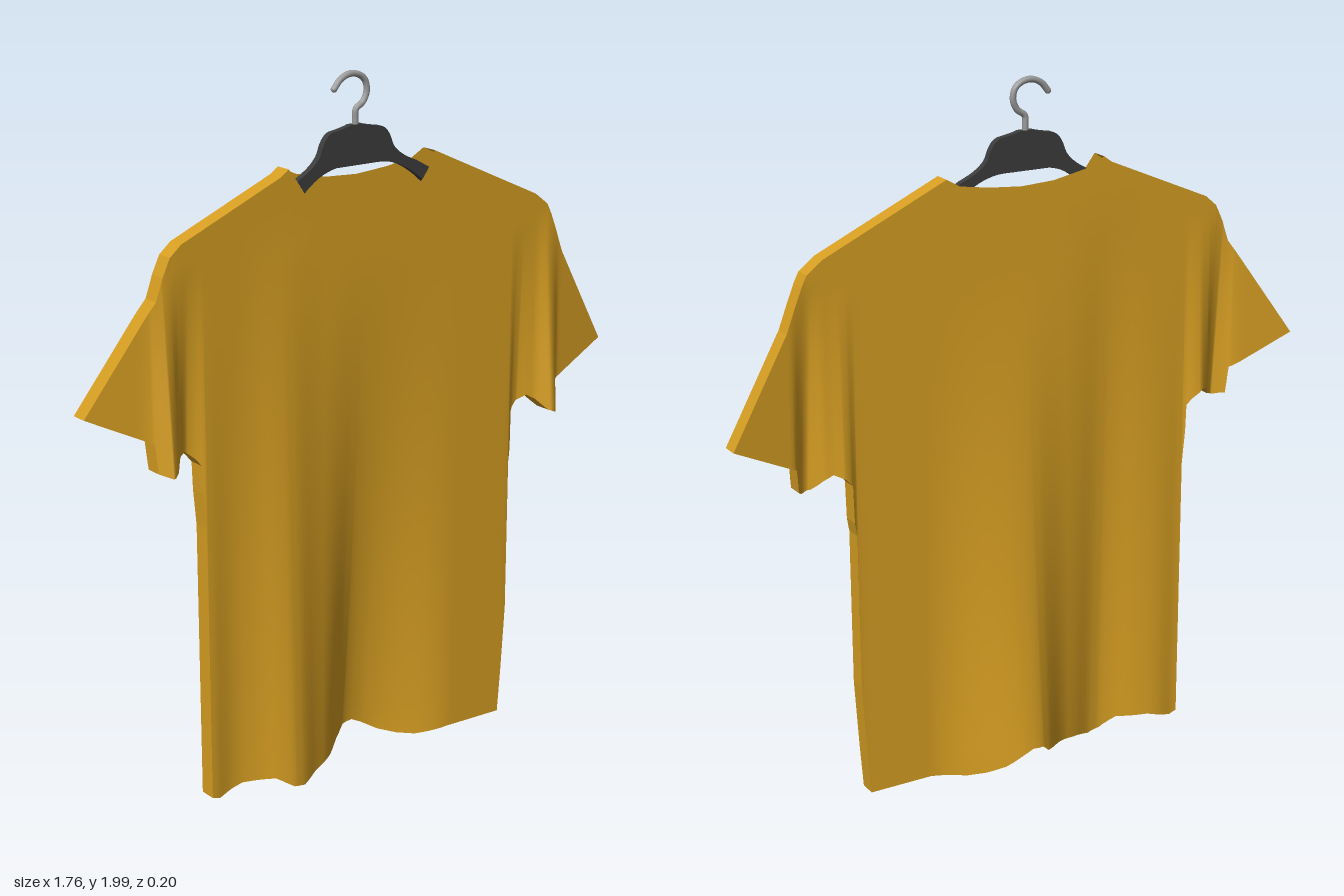
import * as THREE from 'three';

const cloth = new THREE.MeshStandardMaterial({ color: 0xd69e22, side: THREE.DoubleSide });
cloth.name = 'mustard cloth';
const plastic = new THREE.MeshStandardMaterial({ color: 0x3c3c3c });
plastic.name = 'dark plastic';
const metal = new THREE.MeshStandardMaterial({ color: 0x9a9a9a });
metal.name = 'grey metal';

// Outline as height over x: shoulders, necklines and lower edge
const leftTop = [[-0.88, 1.18], [-0.68, 1.47], [-0.66, 1.53], [-0.635, 1.58], [-0.6, 1.61], [-0.285, 1.745], [-0.26, 1.763]];
const rightTop = [[0.23, 1.755], [0.6, 1.585], [0.645, 1.55], [0.66, 1.52], [0.71, 1.4], [0.88, 1.11]];
const frontNeck = [[-0.235, 1.73], [-0.21, 1.693], [-0.15, 1.645], [-0.1, 1.622], [-0.05, 1.612], [0, 1.61],
  [0.05, 1.613], [0.1, 1.625], [0.15, 1.65], [0.19, 1.682], [0.21, 1.71]];
const backNeck = [[-0.2, 1.735], [-0.1, 1.715], [0, 1.71], [0.1, 1.718], [0.19, 1.732]];
const frontTop = [...leftTop, ...frontNeck, ...rightTop];
const backTop = [...leftTop, ...backNeck, ...rightTop];
const bottom = [
  // right-hand sleeve opening and side seam
  [-0.88, 1.18], [-0.695, 1.09], [-0.69, 1.01], [-0.665, 1.0], [-0.64, 1.01], [-0.615, 1.04], [-0.59, 1.045],
  [-0.56, 1.02], [-0.546, 1.0], [-0.544, 0.92], [-0.537, 0.82], [-0.535, 0.03],
  // hem
  [-0.51, 0.022], [-0.43, 0.045], [-0.34, 0.044], [-0.29, 0.012], [-0.25, 0.005], [-0.2, 0.02], [-0.1, 0.04],
  [-0.04, 0.055], [-0.015, 0.077], [0.02, 0.08], [0.05, 0.065], [0.1, 0.035], [0.15, 0.018], [0.2, 0.01], [0.3, 0.02], [0.49, 0.017],
  // left-hand side seam and sleeve opening
  [0.5, 0.14], [0.514, 0.35], [0.517, 0.8], [0.526, 0.84], [0.531, 0.95], [0.555, 0.975], [0.585, 0.99],
  [0.61, 0.975], [0.635, 0.945], [0.66, 0.935], [0.68, 0.95], [0.69, 1.02], [0.88, 1.11]];

function heightAt(line, x) {
  let i = 1;
  while (i < line.length - 1 && line[i][0] < x) i++;
  const [x0, y0] = line[i - 1], [x1, y1] = line[i];
  return y0 + (y1 - y0) * (x - x0) / (x1 - x0);
}

// Folds: centre x, width either side, depth, y where deepest, y where it fades out, fade power
const folds = [
  [-0.28, 0.14, 0.14, 0.047, 0.0, 1.6, 1], [0.01, 0.18, 0.3, -0.104, 0.05, 1.5, 1.45],
  [-0.46, 0.07, 0.07, -0.01, 0.0, 1.4, 1],
  [-0.66, 0.05, 0.05, 0.045, 1.0, 1.55, 1], [-0.58, 0.045, 0.05, -0.024, 1.0, 1.55, 1],
  [0.65, 0.05, 0.05, 0.045, 0.94, 1.52, 1], [0.55, 0.04, 0.055, -0.02, 0.95, 1.5, 1]];

function drape(x, y) {
  let z = 0;
  for (const [cx, wl, wr, depth, y0, y1, power] of folds) {
    const u = Math.min(1, Math.abs(x - cx) / (x < cx ? wl : wr));
    const v = THREE.MathUtils.clamp((y1 - y) / (y1 - y0), 0, 1);
    z += depth * (0.5 + 0.5 * Math.cos(Math.PI * u)) * Math.pow(v, power);
  }
  // sleeves swing back towards their tips
  const tip = Math.max(0, (Math.abs(x) - 0.66) / 0.22);
  return z - tip * (x < 0 ? 0.042 : 0.025);
}

function surface(rows, flip) {
  const pos = [], idx = [], n = rows[0].length;
  rows.forEach(r => r.forEach(p => pos.push(...p)));
  for (let i = 0; i < rows.length - 1; i++) {
    for (let j = 0; j < n - 1; j++) {
      const a = i * n + j, b = a + n, c = b + 1, d = a + 1;
      if (flip) idx.push(a, c, b, a, d, c);
      else idx.push(a, b, c, a, c, d);
    }
  }
  const g = new THREE.BufferGeometry();
  g.setAttribute('position', new THREE.Float32BufferAttribute(pos, 3));
  g.setIndex(idx);
  g.computeVertexNormals();
  return g;
}

// Column positions: even spacing plus every outline corner
const steps = Array.from({ length: 89 }, (_, i) => -0.88 + i * 0.02);
const columns = [...steps, ...[...frontTop, ...backTop, ...bottom].map(p => p[0])]
  .sort((a, b) => a - b).filter((x, i, all) => i === 0 || x - all[i - 1] > 0.0005);
const ROWS = 40, DEPTH = 0.05;

function add(group, name, geometry, material) {
  const mesh = new THREE.Mesh(geometry, material);
  mesh.name = name;
  group.add(mesh);
  return mesh;
}

function panel(topLine, z0, flip) {
  return surface(columns.map(x => {
    const lo = heightAt(bottom, x), hi = heightAt(topLine, x);
    return Array.from({ length: ROWS + 1 }, (_, j) => {
      const y = lo + (hi - lo) * j / ROWS;
      return [x, y, z0 + drape(x, y)];
    });
  }), flip);
}

// Strip joining the front and back panels along an edge line
function edgeStrip(line, x0, x1, flip) {
  const xs = columns.filter(x => x >= x0 - 1e-4 && x <= x1 + 1e-4);
  const rows = [];
  xs.forEach((x, k) => {
    const y = heightAt(line, x);
    const px = k ? xs[k - 1] : x, py = heightAt(line, px);
    const n = Math.max(1, Math.ceil(Math.abs(y - py) / 0.05));
    for (let s = k ? 1 : n; s <= n; s++) {
      const ex = px + (x - px) * s / n, ey = py + (y - py) * s / n, z = drape(ex, ey);
      rows.push([[ex, ey, z], [ex, ey, z + DEPTH]]);
    }
  });
  const g = surface(rows, flip).toNonIndexed();
  g.computeVertexNormals();
  return g;
}

export function createModel() {
  const model = new THREE.Group();
  model.name = 'shirtOnHanger';

  const shirt = new THREE.Group();
  shirt.name = 'shirt';
  add(shirt, 'frontPanel', panel(frontTop, DEPTH, false), cloth);
  add(shirt, 'backPanel', panel(backTop, 0, true), cloth);
  add(shirt, 'rightShoulderEdge', edgeStrip(backTop, -0.88, -0.26, true), cloth);
  add(shirt, 'leftShoulderEdge', edgeStrip(backTop, 0.23, 0.88, true), cloth);
  add(shirt, 'hemAndSleeveEdge', edgeStrip(bottom, -0.88, 0.88, false), cloth);

  // Hanger: flat arched bar whose arms run inside the shoulders
  const hanger = new THREE.Group();
  hanger.name = 'hanger';
  const bar = new THREE.Shape();
  bar.moveTo(-0.48, 1.57);
  bar.lineTo(-0.46, 1.61);
  bar.lineTo(-0.23, 1.725);
  bar.quadraticCurveTo(-0.165, 1.755, -0.15, 1.79);
  bar.quadraticCurveTo(-0.135, 1.84, -0.105, 1.843);
  bar.quadraticCurveTo(-0.07, 1.848, -0.05, 1.855);
  bar.lineTo(-0.01, 1.855);
  bar.quadraticCurveTo(0.01, 1.848, 0.045, 1.843);
  bar.quadraticCurveTo(0.075, 1.84, 0.09, 1.79);
  bar.quadraticCurveTo(0.105, 1.76, 0.17, 1.735);
  bar.lineTo(0.215, 1.71);
  bar.lineTo(0.42, 1.6);
  bar.lineTo(0.44, 1.55);
  bar.lineTo(0.2, 1.67);
  bar.quadraticCurveTo(0.12, 1.745, 0.04, 1.745);
  bar.lineTo(-0.1, 1.745);
  bar.quadraticCurveTo(-0.16, 1.735, -0.21, 1.685);
  bar.closePath();
  const barGeo = new THREE.ExtrudeGeometry(bar, { depth: 0.02, bevelEnabled: false, curveSegments: 8 });
  add(hanger, 'hangerBar', barGeo, plastic).position.z = 0.024;

  const path = new THREE.CatmullRomCurve3([[-0.03, 1.84], [-0.03, 1.87], [-0.028, 1.895], [-0.005, 1.912], [0.008, 1.94],
    [0.002, 1.97], [-0.02, 1.987], [-0.05, 1.991], [-0.08, 1.978], [-0.1, 1.955]].map(([x, y]) => new THREE.Vector3(x, y, 0.034)));
  add(hanger, 'hook', new THREE.TubeGeometry(path, 40, 0.009, 10), metal);
  const tip = add(hanger, 'hookTip', new THREE.SphereGeometry(0.009, 10, 8), metal);
  tip.position.set(-0.1, 1.955, 0.034);

  model.add(shirt, hanger);
  return model;
}
